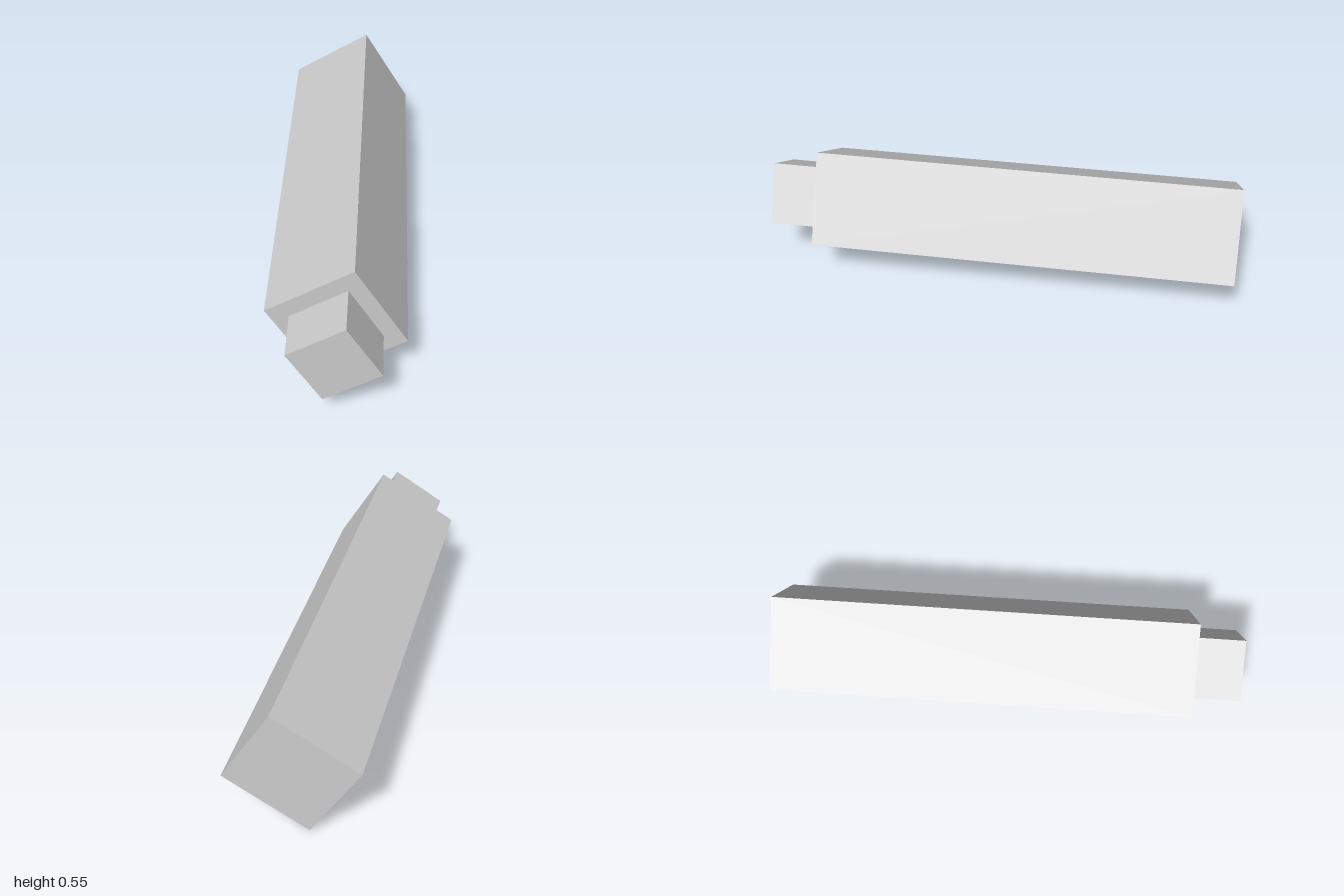
import * as THREE from 'three';

export function createModel() {
  const grey = new THREE.MeshStandardMaterial({ color: 0xcccccc });
  grey.name = 'light grey';

  // Square bars along z, rolled together about the long axis
  const model = new THREE.Group();
  model.name = 'steppedBar';
  const roll = THREE.MathUtils.degToRad(31);

  function addBar(name, side, back, front) {
    const bar = new THREE.Mesh(new THREE.BoxGeometry(side, side, front - back), grey);
    bar.name = name;
    bar.position.set(0, 0.274, (back + front) / 2);
    bar.rotation.z = roll;
    model.add(bar);
  }

  addBar('body', 0.398, -1, 0.793);
  addBar('frontTip', 0.262, 0.793, 1);

  return model;
}
